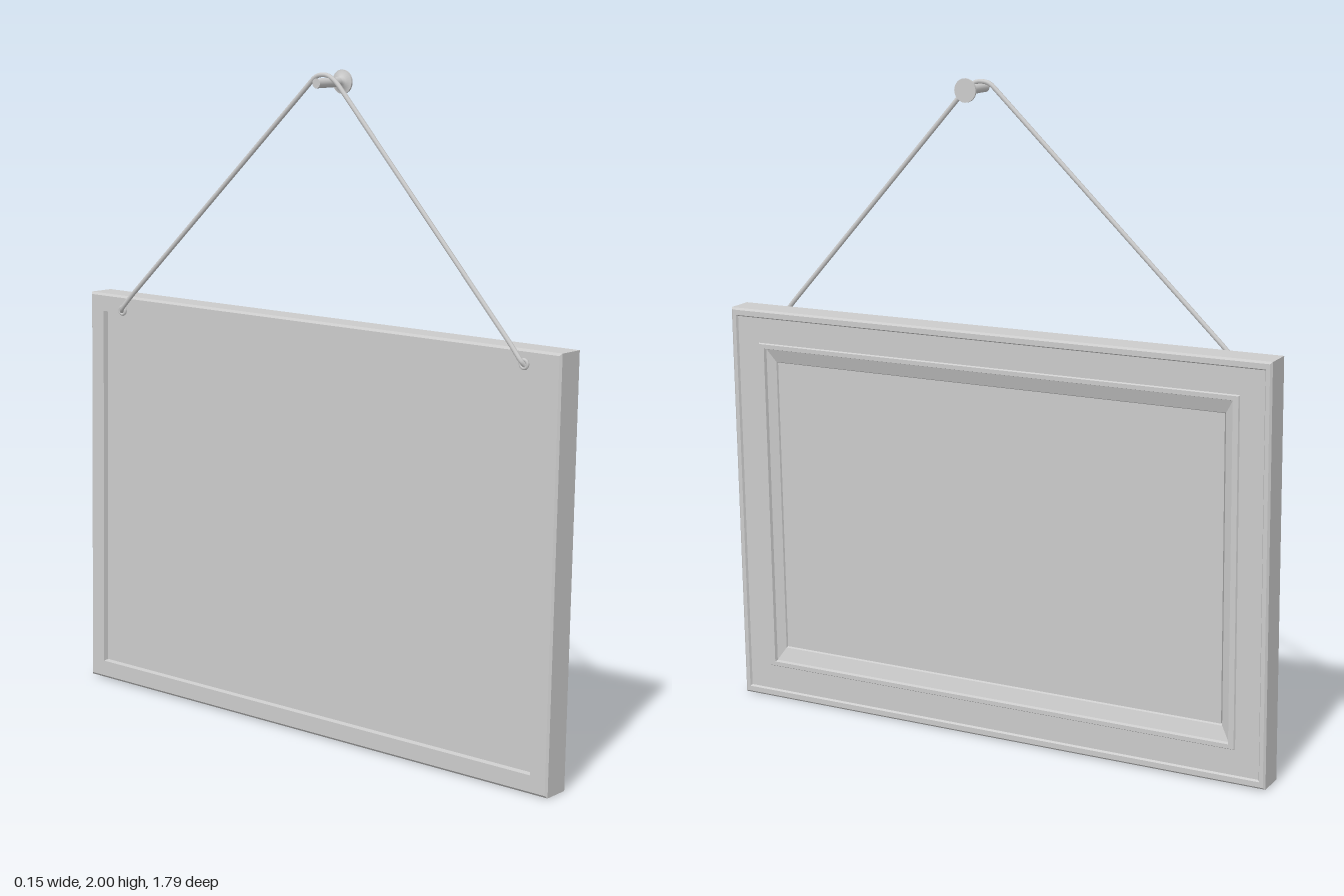
import * as THREE from 'three';

const material = new THREE.MeshStandardMaterial({ color: 0xcccccc });

function addMesh(parent, name, geometry, x = 0, y = 0, z = 0) {
  const mesh = new THREE.Mesh(geometry, material);
  mesh.name = name;
  mesh.position.set(x, y, z);
  parent.add(mesh);
  return mesh;
}

// Skins a chain of rectangular rings [half width, half height, x], flat faced
function rectangularSweep(rings) {
  const corners = rings.map(([w, h, x]) =>
    [[-w, -h], [-w, h], [w, h], [w, -h]].map(([z, y]) => [x, y, z]));
  const positions = [];
  for (let i = 0; i < rings.length - 1; i++) {
    for (let k = 0; k < 4; k++) {
      const n = (k + 1) % 4;
      const a = corners[i], b = corners[i + 1];
      positions.push(...a[k], ...a[n], ...b[k], ...a[n], ...b[n], ...b[k]);
    }
  }
  const geometry = new THREE.BufferGeometry();
  geometry.setAttribute('position', new THREE.Float32BufferAttribute(positions, 3));
  geometry.computeVertexNormals();
  return geometry;
}

function tubeThrough(points, radius) {
  // Straight runs with short rounded bends
  const path = new THREE.CurvePath();
  const pts = points.map(p => new THREE.Vector3(...p));
  let from = pts[0];
  for (let i = 1; i < pts.length - 1; i++) {
    const p = pts[i];
    const before = p.clone().lerp(pts[i - 1], Math.min(0.4, 0.02 / p.distanceTo(pts[i - 1])));
    const after = p.clone().lerp(pts[i + 1], Math.min(0.4, 0.02 / p.distanceTo(pts[i + 1])));
    path.add(new THREE.LineCurve3(from, before));
    path.add(new THREE.QuadraticBezierCurve3(before, p, after));
    from = after;
  }
  path.add(new THREE.LineCurve3(from, pts[pts.length - 1]));
  return new THREE.TubeGeometry(path, 240, radius, 8);
}

export function createModel() {
  const model = new THREE.Group();
  model.name = 'hangingPicture';

  // Framed picture, facing +x, leaning slightly forward and a touch crooked
  const picture = new THREE.Group();
  picture.name = 'framedPicture';
  picture.position.set(0.014, 0.637, 0.004);
  picture.rotation.set(0.003, 0, -0.019);
  model.add(picture);

  // Frame moulding, from the back recess around the outside to the inner bevel
  addMesh(picture, 'frame', rectangularSweep([
    [0.835, 0.572, -0.032],
    [0.838, 0.575, -0.048],
    [0.889, 0.624, -0.048],
    [0.895, 0.631, -0.042],
    [0.895, 0.631, 0.042],
    [0.889, 0.625, 0.048],
    [0.877, 0.609, 0.048],
    [0.873, 0.605, 0.041],
    [0.799, 0.527, 0.041],
    [0.796, 0.524, 0.046],
    [0.779, 0.511, 0.046],
    [0.776, 0.508, 0.036],
    [0.75, 0.467, 0.022],
    [0.747, 0.463, 0.014],
  ]));
  addMesh(picture, 'picturePanel', new THREE.BoxGeometry(0.02, 0.928, 1.496), 0.006, 0, 0.004);
  addMesh(picture, 'backingPanel', new THREE.BoxGeometry(0.02, 1.146, 1.672), -0.022, 0, 0);

  // Cord from one eyelet over the nail to the other
  addMesh(model, 'cord', tubeThrough([
    [-0.024, 1.22, 0.785],
    [-0.034, 1.232, 0.778],
    [-0.032, 1.275, 0.742],
    [-0.026, 1.968, 0.118],
    [-0.026, 1.988, 0.085],
    [-0.026, 1.985, 0.045],
    [-0.032, 1.275, -0.702],
    [-0.034, 1.232, -0.742],
    [-0.024, 1.22, -0.75],
  ], 0.007));

  // Eyelets on the back of the frame
  for (const [side, z] of [['left', 0.782], ['right', -0.746]]) {
    const eyelet = addMesh(model, side + 'Eyelet',
      new THREE.TorusGeometry(0.012, 0.005, 8, 16), -0.026, 1.225, z);
    eyelet.rotation.y = Math.PI / 2;
  }

  // Nail with a broad flat head, pointing into the wall
  const profile = [
    [0, -0.08], [0.014, -0.08], [0.014, -0.08], [0.014, 0.022], [0.014, 0.022],
    [0.017, 0.032], [0.033, 0.037], [0.035, 0.037], [0.035, 0.037],
    [0.035, 0.043], [0.035, 0.043], [0, 0.043],
  ].map(([r, y]) => new THREE.Vector2(r, y));
  const nail = addMesh(model, 'nail', new THREE.LatheGeometry(profile, 24), 0, 1.965, 0.088);
  nail.rotation.z = -Math.PI / 2;

  return model;
}
